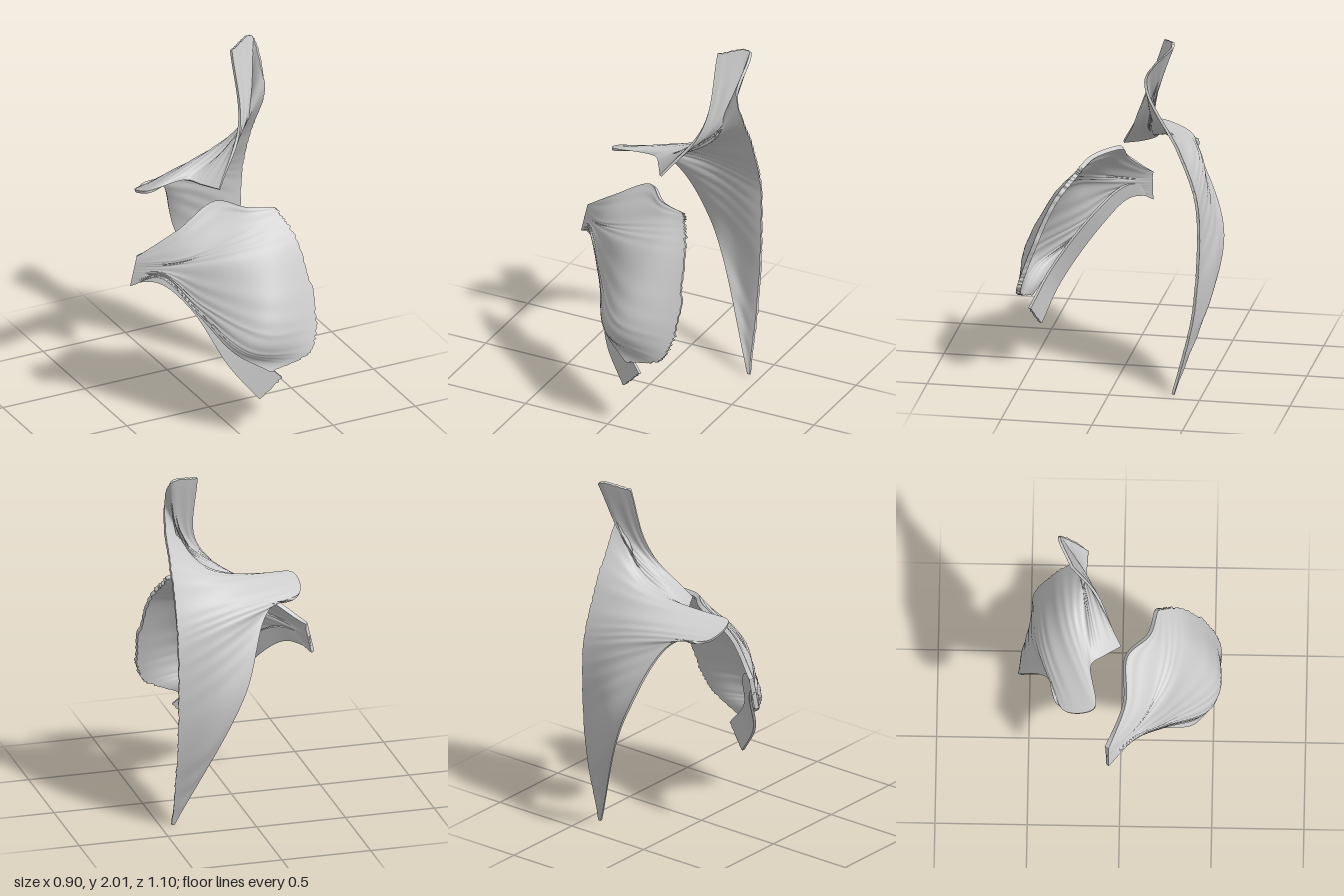
import * as THREE from 'three';

const muscle = new THREE.MeshStandardMaterial({ color: 0xcccccc });
muscle.name = 'muscleGrey';

// repeatable noise in -1..1
const noise = (i) => {
  const s = Math.sin(i * 127.1 + 11.7) * 43758.5453;
  return (s - Math.floor(s)) * 2 - 1;
};

// Curved shell skinned over fibre rows. Each row runs from the lateral to the
// medial attachment. top / bottom are the surface offsets along the normal.
function shell(name, rows, { nu = 32, nv = 96, top, bottom, ripple = 0, ragged = 0 }) {
  const toCurve = (pts) => new THREE.CatmullRomCurve3(pts);
  const rowCurves = rows.map((r) => toCurve(r.map((p) => new THREE.Vector3(...p))));
  const grid = Array.from({ length: nu + 1 }, (_, i) => {
    const column = toCurve(rowCurves.map((c) => c.getPoint(i / nu)));
    return Array.from({ length: nv + 1 }, (_, j) => column.getPoint(j / nv));
  });

  // torn medial border
  for (let j = 1; j < nv; j++) {
    const dir = grid[nu][j].clone().sub(grid[nu - 1][j]).normalize();
    grid[nu][j].addScaledVector(dir, ragged * noise(j));
  }

  // middle surface, used for its normals
  const at = (i, j) => i * (nv + 1) + j;
  const faces = [];
  for (let i = 0; i < nu; i++) {
    for (let j = 0; j < nv; j++) {
      faces.push(at(i, j), at(i + 1, j), at(i, j + 1));
      faces.push(at(i + 1, j), at(i + 1, j + 1), at(i, j + 1));
    }
  }
  const mid = new THREE.BufferGeometry().setFromPoints(grid.flat());
  mid.setIndex(faces);
  mid.computeVertexNormals();
  const normals = mid.getAttribute('normal');

  const offsetPoint = (k, d) => {
    const i = Math.floor(k / (nv + 1)), j = k % (nv + 1);
    const wave = Math.sin(j * 0.9 + 2 * Math.sin(j * 0.23)) * Math.sin((Math.PI * i) / nu);
    const n = new THREE.Vector3().fromBufferAttribute(normals, k);
    return grid[i][j].clone().addScaledVector(n, d + ripple * wave);
  };

  const count = (nu + 1) * (nv + 1);
  const points = [], index = [];
  for (const d of [top, bottom]) for (let k = 0; k < count; k++) points.push(offsetPoint(k, d));
  for (let f = 0; f < faces.length; f += 3) {
    const [a, b, c] = [faces[f], faces[f + 1], faces[f + 2]];
    index.push(a, b, c, count + a, count + c, count + b);
  }

  // rim around the sheet, with its own vertices so that the edge stays sharp
  const loop = [];
  for (let i = 0; i < nu; i++) loop.push(at(i, 0));
  for (let j = 0; j < nv; j++) loop.push(at(nu, j));
  for (let i = nu; i > 0; i--) loop.push(at(i, nv));
  for (let j = nv; j > 0; j--) loop.push(at(0, j));
  const start = points.length;
  loop.forEach((k, e) => {
    points.push(points[k].clone(), points[count + k].clone());
    const p = start + 2 * e, q = start + 2 * ((e + 1) % loop.length);
    index.push(p, p + 1, q + 1, p, q + 1, q);
  });

  const geometry = new THREE.BufferGeometry().setFromPoints(points);
  geometry.setIndex(index);
  geometry.computeVertexNormals();
  const mesh = new THREE.Mesh(geometry, muscle);
  mesh.name = name;
  return mesh;
}

// back: neck, shoulder and spine fibres, all but the first ending on the midline
const spine = (y, z) => [0.435, y, z];
const backRows = [
  [[0.06, 1.31, 0], [0.25, 1.59, -0.145], [0.27, 1.98, -0.28]],
  [[0, 1.31, -0.1], [0.34, 1.62, -0.21], spine(2, -0.35)],
  [[-0.05, 1.32, -0.16], [0.25, 1.47, -0.21], spine(1.8, -0.2)],
  [[-0.3, 1.32, -0.14], [0.1, 1.365, -0.31], spine(1.4, -0.38)],
  [[-0.3, 1.26, -0.3], [0.08, 1.24, -0.43], spine(1.15, -0.47)],
  [[-0.1, 1.21, -0.39], [0.17, 1.09, -0.485], spine(0.95, -0.49)],
  [[0.08, 0.8, -0.56], [0.25, 0.64, -0.54], spine(0.47, -0.46)],
  [[0.42, 0, -0.35], [0.428, 0, -0.35], spine(0, -0.35)],
];

// chest: fibres from the collarbone edge to the lower edge, fanning out of a
// short straight attachment on the arm
const chestRows = [
  [[-0.2, 1.14, 0.03], [0.02, 1.265, 0.035], [0.15, 1.25, 0.155], [0.3, 1.235, 0.195]],
  [[-0.22, 1.02, 0.13], [0.02, 1.12, 0.21], [0.17, 1.17, 0.225], [0.32, 1.2, 0.22]],
  [[-0.29, 0.95, 0.085], [-0.07, 1.01, 0.27], [0.17, 1.04, 0.345], [0.38, 1.05, 0.33]],
  [[-0.31, 0.91, 0.09], [-0.17, 0.78, 0.26], [0.08, 0.67, 0.525], [0.4, 0.63, 0.5]],
  [[-0.32, 0.9, 0.085], [-0.18, 0.73, 0.25], [0, 0.56, 0.5], [0.34, 0.5, 0.54]],
  [[-0.33, 0.89, 0.07], [-0.18, 0.7, 0.24], [-0.06, 0.53, 0.42], [0.11, 0.42, 0.51]],
].map((fibre, i) => [[-0.41 - 0.008 * i, 0.98 - 0.034 * i, -0.06], ...fibre]);

// slip: narrow band under the chest, widening towards its free end
const slipEdge = [
  [-0.43, 0.9, -0.06], [-0.29, 0.93, 0.06], [-0.14, 0.82, 0.2], [0.02, 0.54, 0.41], [0.19, 0.36, 0.5],
];
const slipLowerEdge = slipEdge.map(([x, y, z], i) => [x - 0.01 - 0.027 * i, y - 0.07 - 0.013 * i, z - 0.01 * i]);

export function createModel() {
  const group = new THREE.Group();
  group.name = 'torsoMuscles';
  group.add(
    shell('backMuscle', backRows, { nv: 144, top: 0, bottom: -0.015, ripple: 0.002, ragged: 0.004 }),
    shell('chestMuscle', chestRows, { top: 0.025, bottom: 0, ripple: 0.002, ragged: 0.009 }),
    shell('chestSlip', [slipEdge, slipLowerEdge], { nv: 12, top: 0.015, bottom: 0, ragged: 0.004 }),
  );
  return group;
}
